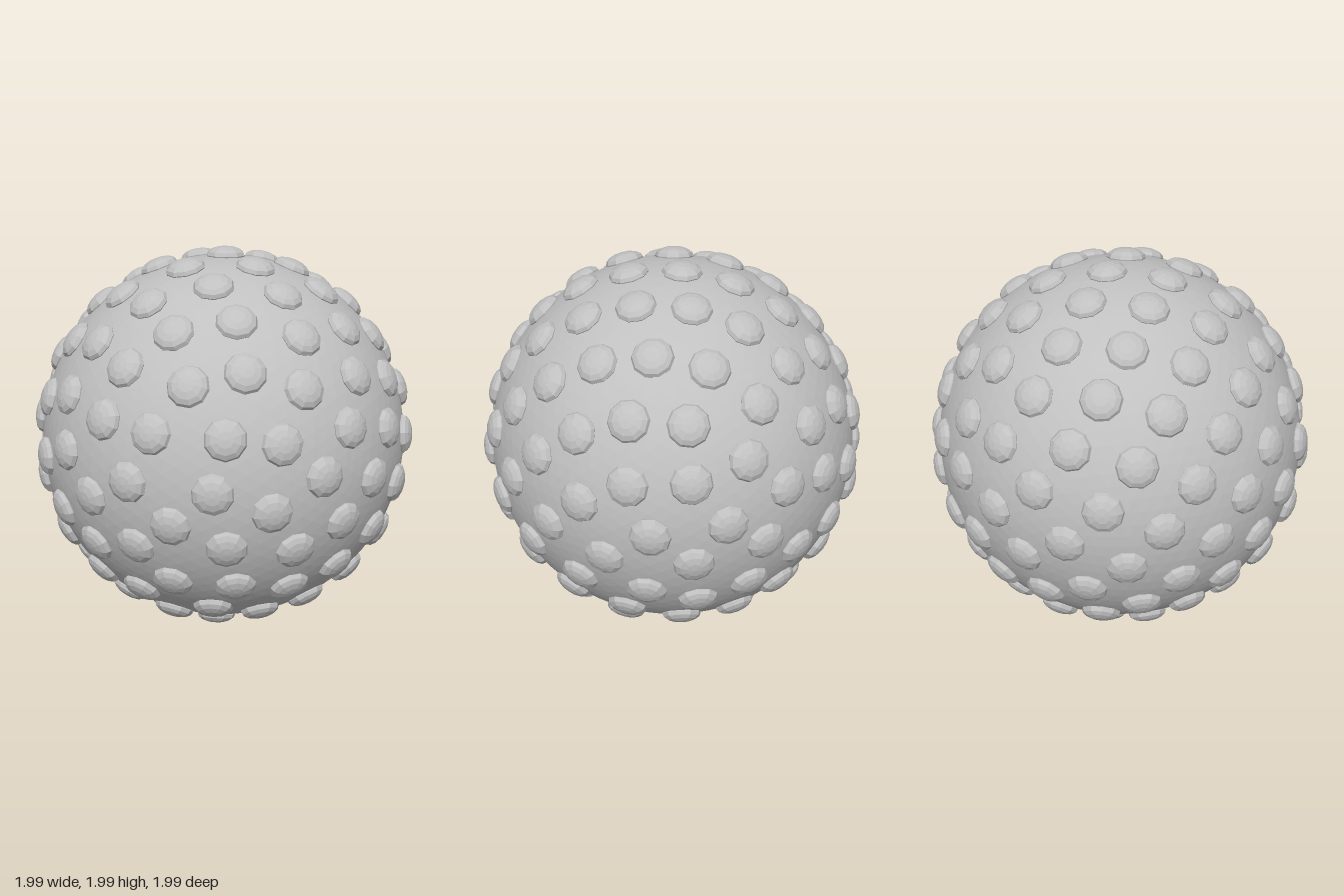
import * as THREE from 'three';

const CORE_RADIUS = 0.953;
const BUMP_RADIUS = 0.1;
const BUMP_HEIGHT = 0.047;
const BUMP_COUNT = 150;

// Give every triangle its own flat normal
function faceted(geometry) {
  const flat = geometry.index ? geometry.toNonIndexed() : geometry;
  flat.computeVertexNormals();
  return flat;
}

export function createModel() {
  const model = new THREE.Group();
  model.name = 'studdedBall';
  const grey = new THREE.MeshStandardMaterial({ color: 0xc0c0c0 });
  grey.name = 'grey';

  // Faceted core ball
  const core = new THREE.Mesh(faceted(new THREE.IcosahedronGeometry(CORE_RADIUS, 15)), grey);
  core.name = 'core';
  core.position.y = 1;
  model.add(core);

  // Flattened ten-sided bump, its pole pointing outwards along +y
  const dome = new THREE.SphereGeometry(BUMP_RADIUS, 10, 5, 0, Math.PI * 2, 0, Math.PI * 0.625);
  dome.scale(1, BUMP_HEIGHT / BUMP_RADIUS, 1);
  const bumpGeometry = faceted(dome);

  // Bumps spread evenly on a golden-angle spiral around the z axis
  const bumps = new THREE.Group();
  bumps.name = 'bumps';
  bumps.position.y = 1;
  const up = new THREE.Vector3(0, 1, 0);
  for (let i = 0; i < BUMP_COUNT; i++) {
    const k = i + 0.5;
    const z = 1 - (2 * k) / BUMP_COUNT;
    const ring = Math.sqrt(1 - z * z);
    const angle = Math.PI * (1 + Math.sqrt(5)) * k;
    const normal = new THREE.Vector3(ring * Math.cos(angle), ring * Math.sin(angle), z);
    const bump = new THREE.Mesh(bumpGeometry, grey);
    bump.name = 'bump';
    bump.quaternion.setFromUnitVectors(up, normal);
    bump.position.copy(normal).multiplyScalar(CORE_RADIUS);
    bumps.add(bump);
  }
  model.add(bumps);
  return model;
}
